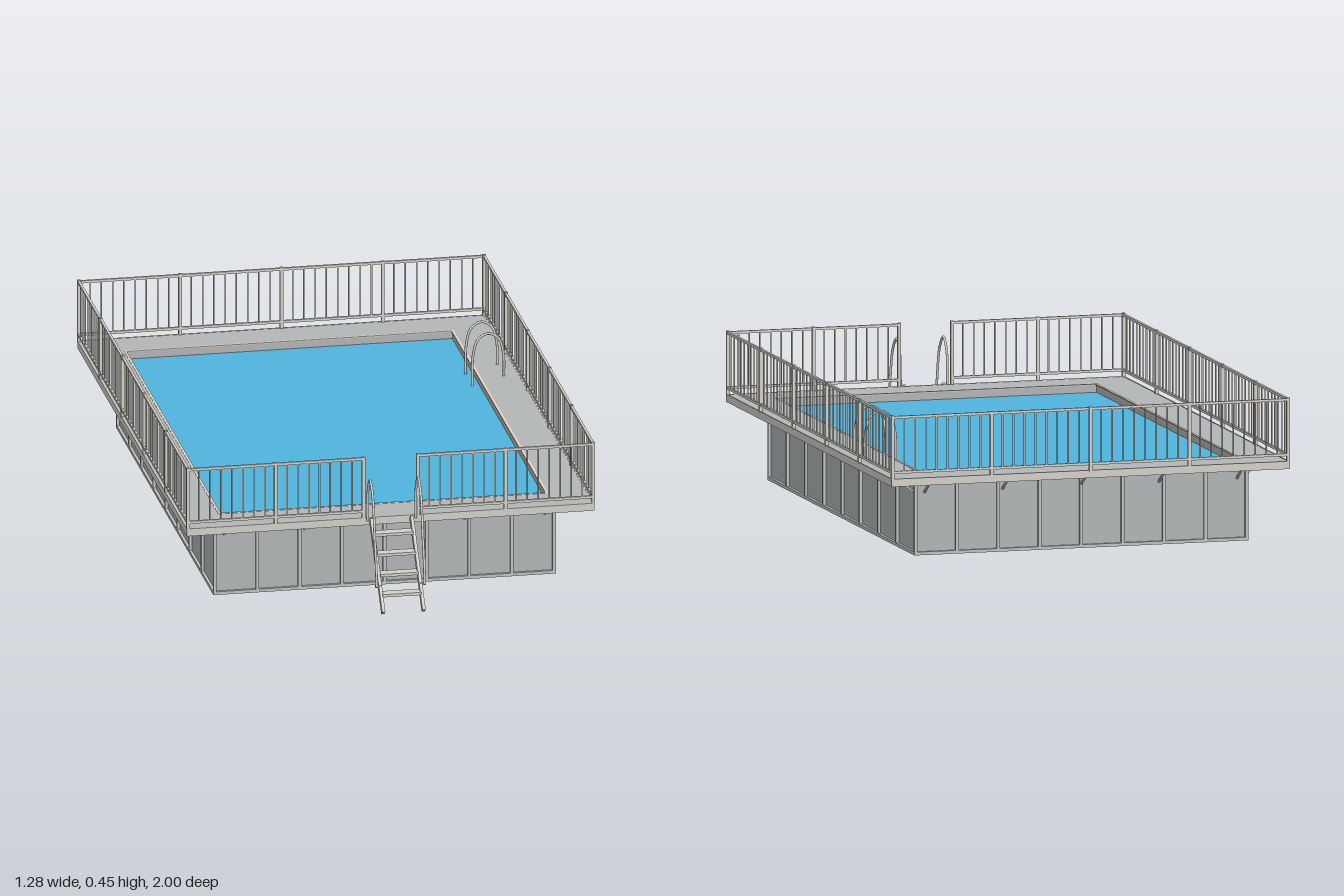
import * as THREE from 'three';

const mat = (name, color) => {
  const m = new THREE.MeshStandardMaterial({ color });
  m.name = name;
  return m;
};

export function createModel() {
  const panelGrey = mat('panel grey', 0xb3b7b7);
  const ribGrey = mat('rib grey', 0xc0c3c2);
  const frameGrey = mat('frame light grey', 0xd4d2ca);
  const waterBlue = mat('water blue', 0x50b3dc);
  const floorBlue = mat('floor deep blue', 0x2a72ad);
  const trimTan = mat('trim tan', 0xe6d3c2);

  const model = new THREE.Group();
  model.name = 'raisedPool';
  const ZC = -0.105;               // centre of deck and basin along z
  const DX = 0.637, DZ = 0.892;    // deck half sizes
  const WX = 0.526, WZ = 0.783;    // wall panel half sizes
  const OX = 0.51, OZ = 0.765;     // water opening half sizes

  const group = (name, parent = model) => {
    const g = new THREE.Group();
    g.name = name;
    parent.add(g);
    return g;
  };
  const box = (name, parent, material, w, h, d, x, y, z) => {
    const m = new THREE.Mesh(new THREE.BoxGeometry(w, h, d), material);
    m.name = name;
    m.position.set(x, y, z);
    parent.add(m);
    return m;
  };
  // Rectangular bar between two points
  const bar = (name, parent, material, a, b, w, d) => {
    const p = new THREE.Vector3(...a), q = new THREE.Vector3(...b);
    const c = p.clone().add(q).multiplyScalar(0.5);
    const m = box(name, parent, material, w, p.distanceTo(q), d, c.x, c.y, c.z);
    m.quaternion.setFromUnitVectors(new THREE.Vector3(0, 1, 0), q.sub(p).normalize());
  };
  const tube = (name, parent, material, pts, r) => {
    const curve = new THREE.CatmullRomCurve3(pts.map(p => new THREE.Vector3(...p)));
    const m = new THREE.Mesh(new THREE.TubeGeometry(curve, 40, r, 10), material);
    m.name = name;
    parent.add(m);
  };
  // Flat rectangular ring, lying level from y upwards
  const ring = (name, parent, material, ox, oz, ix, iz, y, h) => {
    const rect = (P, x, z) => new P([[-x, -z], [x, -z], [x, z], [-x, z]].map(v => new THREE.Vector2(...v)));
    const s = rect(THREE.Shape, ox, oz);
    s.holes.push(rect(THREE.Path, ix, iz));
    const geo = new THREE.ExtrudeGeometry(s, { depth: h, bevelEnabled: false });
    geo.rotateX(-Math.PI / 2);
    const m = new THREE.Mesh(geo, material);
    m.name = name;
    m.position.set(0, y, ZC);
    parent.add(m);
  };

  // Basin: walls, water and floor
  const basin = group('basin');
  ring('walls', basin, panelGrey, WX, WZ, OX, OZ, 0.004, 0.229);
  box('water', basin, waterBlue, OX * 2, 0.008, OZ * 2, 0, 0.226, ZC);
  box('floor', basin, floorBlue, WX * 2 - 0.004, 0.006, WZ * 2 - 0.004, 0, 0.004, ZC);
  ring('bottomFrame', basin, ribGrey, WX + 0.009, WZ + 0.009, WX - 0.004, WZ - 0.004, 0, 0.01);

  // Upright ribs standing proud of the wall panels
  const ribs = group('wallRibs', basin);
  const RX = WX + 0.004, RZ = WZ + 0.004;
  for (const s of [-1, 1]) {
    for (let i = 0; i <= 8; i++) {
      const t = i / 4 - 1;
      box('rib', ribs, ribGrey, 0.01, 0.223, 0.01, t * RX, 0.1215, ZC + s * RZ);
      if (i % 8) box('rib', ribs, ribGrey, 0.01, 0.223, 0.01, s * RX, 0.1215, ZC + t * RZ);
    }
  }

  // Deck with a lighter edge band and a thin trim around the water
  const deck = group('deck');
  ring('deckBoards', deck, panelGrey, DX - 0.004, DZ - 0.004, OX, OZ, 0.233, 0.022);
  ring('deckEdge', deck, frameGrey, DX, DZ, DX - 0.004, DZ - 0.004, 0.232, 0.024);
  ring('deckTrim', deck, trimTan, OX + 0.005, OZ + 0.005, OX - 0.003, OZ - 0.003, 0.253, 0.003);

  // Diagonal brackets under the deck
  const brackets = group('brackets');
  for (const s of [-1, 1]) {
    for (let i = -2; i <= 2; i++) {
      const x = i * 0.25, z = ZC + s * WZ;
      bar('bracket', brackets, frameGrey, [x, 0.194, z], [x, 0.233, z + s * 0.06], 0.006, 0.006);
    }
    for (let i = -3; i <= 3; i++) {
      const z = ZC + i * 0.25;
      bar('bracket', brackets, frameGrey, [s * WX, 0.194, z], [s * (WX + 0.06), 0.233, z], 0.006, 0.006);
    }
  }

  // Railing runs: posts, two rails and thin balusters
  const TOP = 0.447, LOW = 0.276;
  const railing = (name, x0, z0, x1, z1, spans, bays) => {
    const g = group(name);
    const len = Math.hypot(x1 - x0, z1 - z0), alongX = z0 === z1;
    for (const y of [TOP, LOW])
      box('rail', g, frameGrey, alongX ? len : 0.008, 0.008, alongX ? 0.008 : len, (x0 + x1) / 2, y, (z0 + z1) / 2);
    for (let i = 0; i <= spans * bays; i++) {
      const t = i / (spans * bays);
      const x = x0 + (x1 - x0) * t, z = z0 + (z1 - z0) * t;
      if (i % bays === 0) box('post', g, frameGrey, 0.01, 0.2, 0.01, x, 0.353, z);
      else box('baluster', g, frameGrey, 0.004, TOP - LOW, 0.004, x, (TOP + LOW) / 2, z);
    }
  };
  const rx = DX - 0.004, zf = ZC + DZ - 0.004, zb = ZC - DZ + 0.004;
  railing('leftRailing', rx, zb, rx, zf, 5, 10);
  railing('rightRailing', -rx, zb, -rx, zf, 5, 10);
  railing('backRailing', -rx, zb, rx, zb, 4, 9);
  for (const s of [-1, 1]) railing('frontRailing', s * rx, zf, s * 0.085, zf, 2, 8);

  // Entry steps with curved handrails
  const steps = group('entrySteps');
  for (const s of [-1, 1]) {
    const x = s * 0.075;
    bar('stringer', steps, frameGrey, [s * 0.063, 0.252, 0.796], [s * 0.063, 0.016, 0.993], 0.01, 0.02);
    tube('handrail', steps, frameGrey, [
      [x, 0.25, 0.8], [x, 0.355, 0.808], [x, 0.395, 0.842], [x, 0.355, 0.885],
      [x, 0.23, 0.918], [x, 0.14, 0.942], [x, 0.085, 0.948]], 0.004);
    box('handrailFoot', steps, frameGrey, 0.018, 0.007, 0.007, s * 0.069, 0.086, 0.943);
  }
  for (const y of [0.063, 0.114, 0.165, 0.216])
    box('tread', steps, frameGrey, 0.12, 0.009, 0.034, 0, y, 0.796 + (0.252 - y) * 0.833);

  // Arched grab rails into the water
  const grab = group('poolLadder');
  for (const z of [-0.54, -0.43])
    tube('grabRail', grab, frameGrey, [
      [0.587, 0.25, z], [0.585, 0.33, z], [0.57, 0.378, z], [0.538, 0.396, z],
      [0.506, 0.378, z], [0.491, 0.33, z], [0.488, 0.226, z]], 0.004);

  return model;
}
